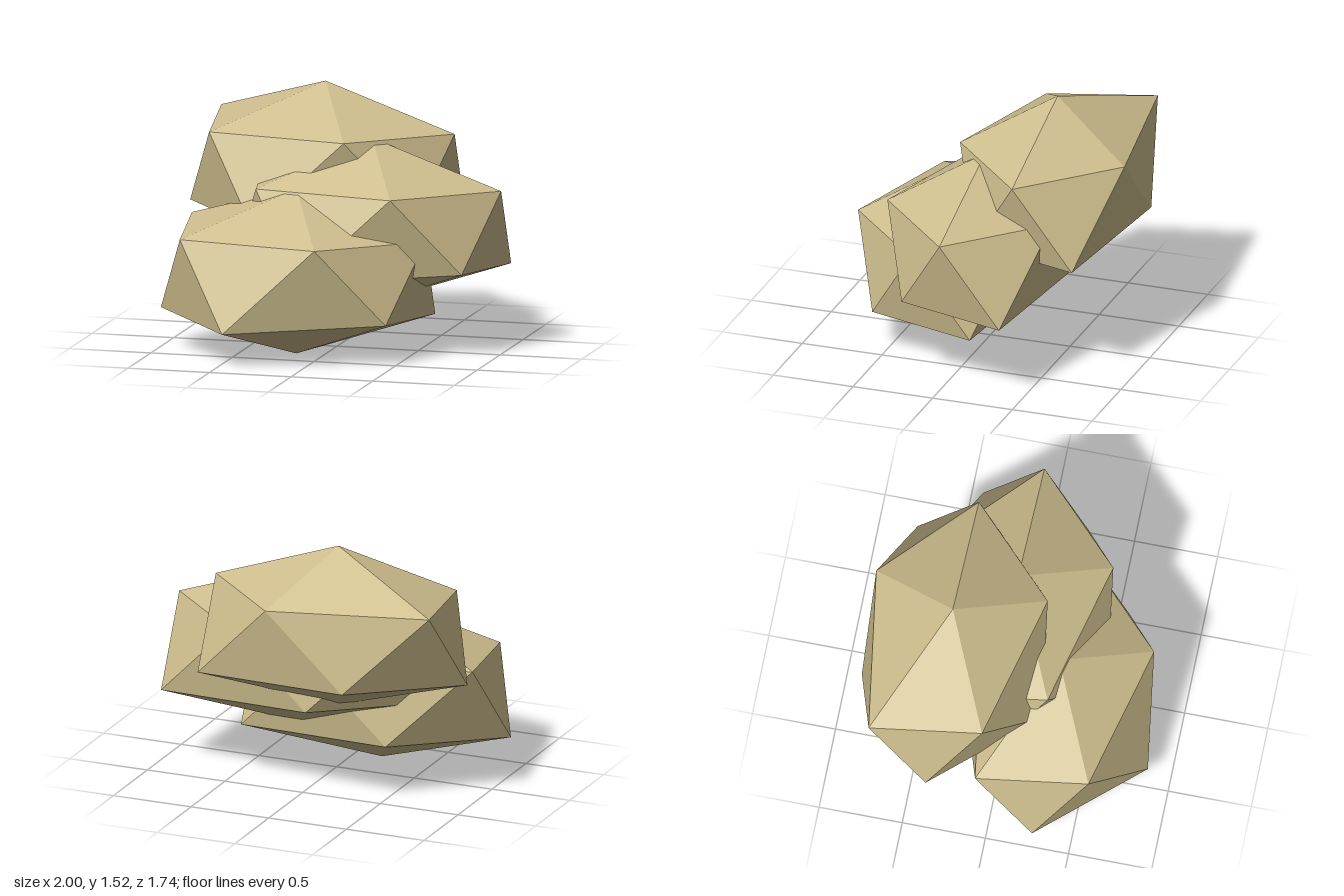
import * as THREE from 'three';

// One faceted boulder: top point, upper ring, lower ring, bottom point
function boulderGeometry() {
  const top = [-0.17, 0.99, 0.28];
  const bottom = [-0.17, 0, 0.28];
  const upper = [[-0.91, 0.745, -0.08], [0.08, 0.71, -0.23], [0.62, 0.71, 0.28], [0.085, 0.72, 0.8], [-0.8, 0.705, 0.58]];
  const lower = [[-0.41, 0.25, -0.22], [0.58, 0.21, -0.08], [0.46, 0.25, 0.575], [-0.46, 0.205, 0.87], [-1, 0.235, 0.28]];

  const points = [];
  const face = (a, b, c) => points.push(...a, ...b, ...c);
  for (let i = 0; i < 5; i++) {
    const j = (i + 1) % 5;
    face(top, upper[j], upper[i]);
    face(upper[i], upper[j], lower[i]);
    face(upper[j], lower[j], lower[i]);
    face(lower[i], lower[j], bottom);
  }
  const geometry = new THREE.BufferGeometry();
  geometry.setAttribute('position', new THREE.Float32BufferAttribute(points, 3));
  geometry.computeVertexNormals();
  return geometry;
}

export function createModel() {
  const group = new THREE.Group();
  group.name = 'boulderPile';
  const sandstone = new THREE.MeshStandardMaterial({ color: 0xcdbd8d, flatShading: true });
  sandstone.name = 'sandstone';
  const geometry = boulderGeometry();

  // The same boulder stacked three times, stepping up and back
  const boulders = [
    ['lowerBoulder', 0, 0, 0],
    ['middleBoulder', 0.375, 0.265, -0.32],
    ['upperBoulder', 0, 0.53, -0.64],
  ];
  for (const [name, x, y, z] of boulders) {
    const mesh = new THREE.Mesh(geometry, sandstone);
    mesh.name = name;
    mesh.position.set(x, y, z);
    group.add(mesh);
  }
  return group;
}
